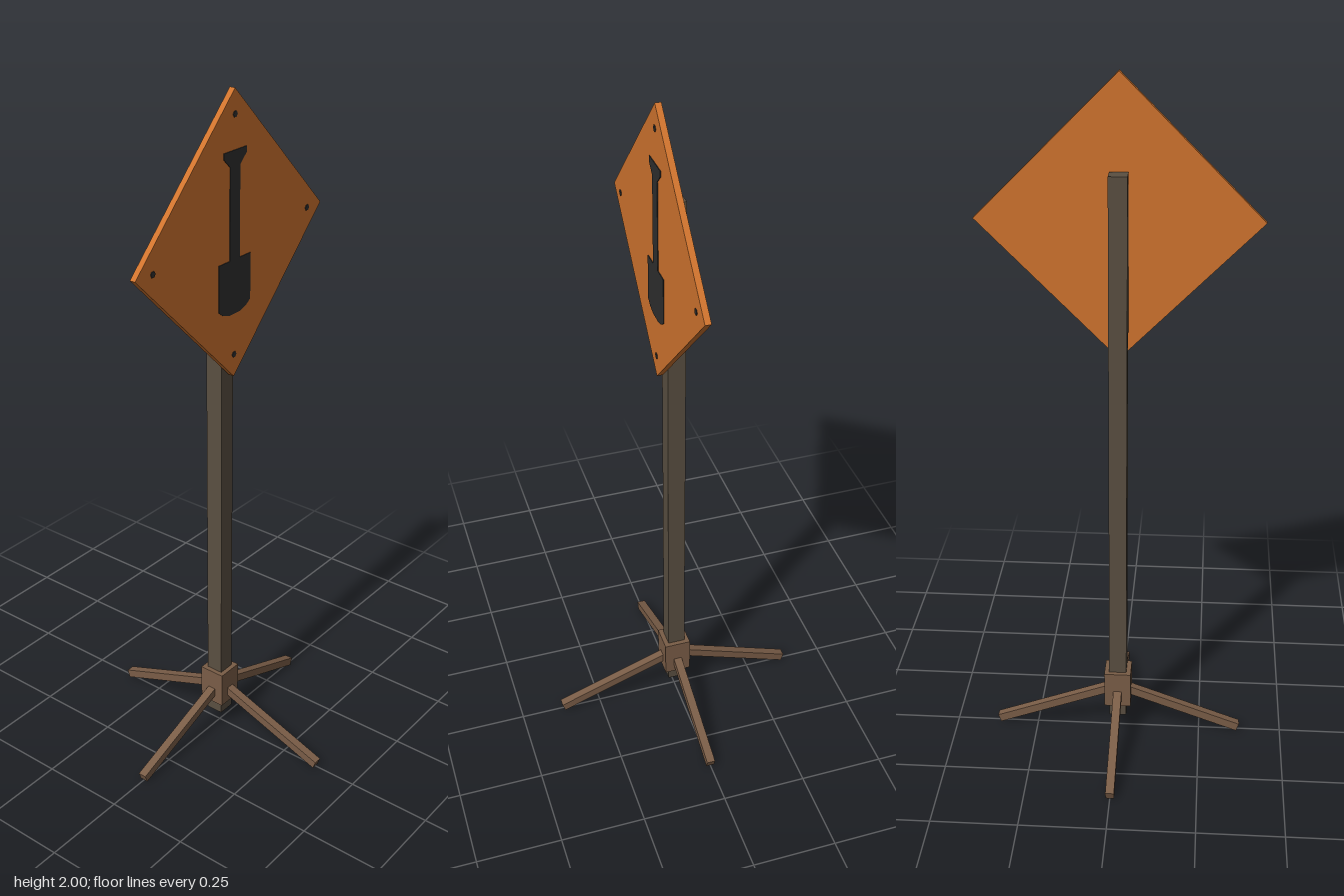
import * as THREE from 'three';

const paint = (name, color) => {
  const m = new THREE.MeshStandardMaterial({ color });
  m.name = name;
  return m;
};

export function createModel() {
  const model = new THREE.Group();
  model.name = 'signStand';
  const orange = paint('signOrange', 0xd0742e);
  const charcoal = paint('charcoal', 0x2e2e2e);
  const darkWood = paint('darkWood', 0x5a4f41);
  const brownWood = paint('brownWood', 0x7a5d47);

  const add = (name, geometry, material, x, y, z, parent = model) => {
    const mesh = new THREE.Mesh(geometry, material);
    mesh.name = name;
    mesh.position.set(x, y, z);
    parent.add(mesh);
    return mesh;
  };

  // Post and the collar that holds the legs
  add('post', new THREE.BoxGeometry(0.052, 1.685, 0.052), darkWood, 0, 0.8945, 0);
  add('collar', new THREE.BoxGeometry(0.08, 0.112, 0.08), brownWood, 0, 0.15, 0);

  // Four legs sloping down from the collar
  const slope = THREE.MathUtils.degToRad(20);
  const legLength = 0.37 / Math.cos(slope);
  for (let i = 0; i < 4; i++) {
    const leg = new THREE.Group();
    leg.name = 'leg';
    leg.rotation.y = i * Math.PI / 2;
    const bar = add('legBar', new THREE.BoxGeometry(legLength, 0.025, 0.025), brownWood,
      0.185, 0.0118 + 0.185 * Math.tan(slope), 0, leg);
    bar.rotation.z = -slope;
    model.add(leg);
  }

  // Diamond board on the left side of the post
  const signY = 1.603, half = 0.397, face = 0.049;
  const side = half * Math.SQRT2;
  const board = add('signBoard', new THREE.BoxGeometry(0.017, side, side), orange, face - 0.0085, signY, 0);
  board.rotation.x = Math.PI / 4;

  // Spade symbol: one half outline, mirrored
  const outline = [[0.048, 1.842], [0.048, 1.826], [0.021, 1.8], [0.021, 1.547],
    [0.069, 1.547], [0.069, 1.415], [0.05, 1.401], [0.025, 1.393]];
  const points = [...outline, ...outline.slice().reverse().map(([u, y]) => [-u, y])];
  const spade = new THREE.Shape(points.map(([u, y]) => new THREE.Vector2(u, y)));
  const spadePlate = new THREE.ExtrudeGeometry(spade, { depth: 0.002, bevelEnabled: false });
  spadePlate.rotateY(Math.PI / 2);
  add('spadeSymbol', spadePlate, charcoal, face, 0, 0);

  // Bolt heads near the corners
  const bolt = new THREE.CylinderGeometry(0.009, 0.009, 0.002, 6);
  bolt.rotateZ(-Math.PI / 2);
  for (let i = 0; i < 4; i++) {
    const a = i * Math.PI / 2;
    add('bolt', bolt, charcoal, face + 0.001, signY + 0.331 * Math.sin(a), 0.331 * Math.cos(a));
  }
  return model;
}
